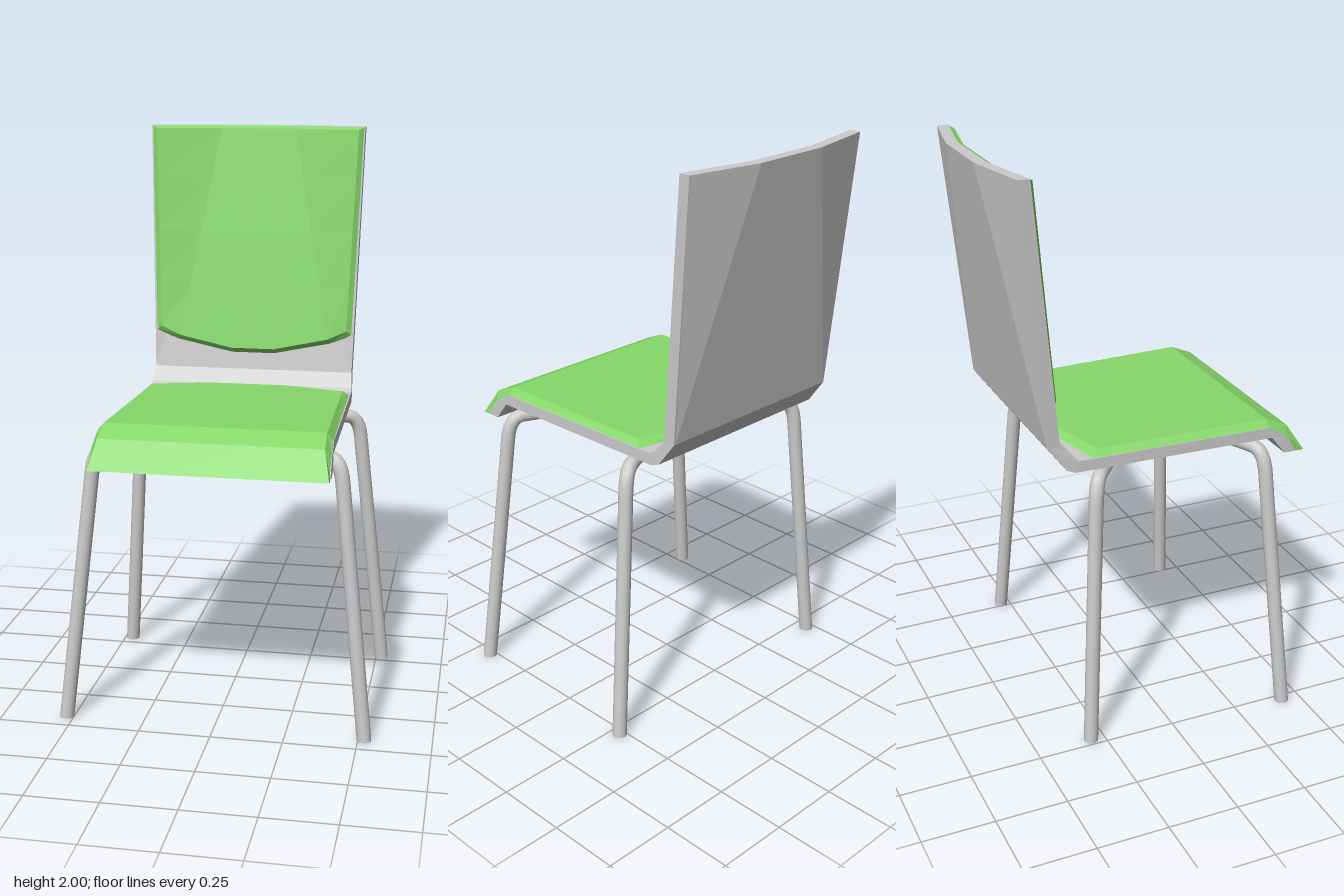
import * as THREE from 'three';

const grey = new THREE.MeshStandardMaterial({ color: 0xcccccc, flatShading: true });
const tubeGrey = new THREE.MeshStandardMaterial({ color: 0xcccccc });
const green = new THREE.MeshStandardMaterial({ color: 0x86d86a, flatShading: true });

// Closed slab between two equal grids of [x, y, z] points, with walls round the border
function slab(front, back) {
  const pos = [];
  const quad = (a, b, c, d) => pos.push(...a, ...b, ...c, ...a, ...c, ...d);
  const R = front.length - 1, C = front[0].length - 1;
  for (let i = 0; i < R; i++) {
    for (let j = 0; j < C; j++) {
      quad(front[i][j], front[i][j + 1], front[i + 1][j + 1], front[i + 1][j]);
      quad(back[i][j], back[i + 1][j], back[i + 1][j + 1], back[i][j + 1]);
    }
  }
  const ring = [];
  for (let j = 0; j < C; j++) ring.push([0, j]);
  for (let i = 0; i < R; i++) ring.push([i, C]);
  for (let j = C; j > 0; j--) ring.push([R, j]);
  for (let i = R; i > 0; i--) ring.push([i, 0]);
  ring.forEach(([i, j], k) => {
    const [m, n] = ring[(k + 1) % ring.length];
    quad(front[m][n], front[i][j], back[i][j], back[m][n]);
  });
  const geo = new THREE.BufferGeometry();
  geo.setAttribute('position', new THREE.Float32BufferAttribute(pos, 3));
  geo.computeVertexNormals();
  return geo;
}

// Mirrored row of points from the right-hand half, listed outside to centre
const mirrored = (half) => [
  ...half.map(([x, y, z]) => [-x, y, z]),
  ...half.slice().reverse(),
];
// Four-point row: half width, inner half width, height, side z, middle z
const row = (w, m, y, z, zMid = z) => mirrored([[w, y, z], [m, y, zMid]]);

// Front surface of the backrest: flat at the bottom, hollow at the top
function backrestZ(x, y) {
  const t = (y - 1.1) / 0.9;
  const w = 0.375 + 0.025 * t, crease = 0.375 + (0.14 - 0.375) * t;
  const k = Math.min(1, Math.max(0, (Math.abs(x) - crease) / (w - crease + 1e-6)));
  return -0.36 - 0.14 * t + 0.05 * t * k;
}

function makeShell() {
  // [half width, upper z, upper y, lower z, lower y]
  const profile = [
    [0.4, 0.515, 0.935, 0.465, 0.935],
    [0.4, 0.47, 1.0, 0.44, 0.967],
    [0.398, 0.4, 1.04, 0.415, 1.0],
    [0.382, -0.3, 1.04, -0.31, 1.0],
    [0.38, -0.32, 1.05, -0.34, 1.012],
    [0.375, -0.36, 1.1, -0.405, 1.1],
  ];
  const upper = profile.map(([w, z, y]) => row(w, w * 0.98, y, z));
  const lower = profile.map(([w, , , z, y]) => row(w, w * 0.98, y, z));
  upper.push(row(0.4, 0.14, 2, -0.45, -0.5));
  lower.push(row(0.4, 0.14, 2, -0.49, -0.54));
  return slab(upper, lower);
}

function makeSeatPad() {
  const top = [
    row(0.4, 0.14, 0.935, 0.54),
    row(0.378, 0.14, 1.03, 0.48),
    row(0.375, 0.14, 1.065, 0.4),
    row(0.358, 0.14, 1.06, -0.22, -0.28),
  ];
  const base = [
    row(0.4, 0.14, 0.935, 0.51),
    row(0.4, 0.14, 1.0, 0.468),
    row(0.398, 0.14, 1.038, 0.4),
    row(0.38, 0.14, 1.038, -0.25, -0.305),
  ];
  return slab(top, base);
}

function makeBackPad() {
  const steps = 4;
  // Bottom [x, y] and top x of each column, outside to centre
  const grid = (cols, topY, lift) => Array.from({ length: steps + 1 }, (_, i) => {
    const t = i / steps;
    return mirrored(cols.map(([x0, y0, x1]) => {
      const x = x0 + (x1 - x0) * t, y = y0 + (topY - y0) * t;
      return [x, y, backrestZ(x, y) + lift];
    }));
  });
  const face = grid([[0.352, 1.255, 0.378], [0.28, 1.222, 0.14], [0.08, 1.18, 0.05]], 1.99, 0.018);
  const base = grid([[0.373, 1.238, 0.398], [0.29, 1.203, 0.14], [0.08, 1.16, 0.05]], 2, -0.002);
  return slab(face, base);
}

// Bent tube leg: foot on the floor, rounded knee, stub under the seat
function makeLeg(foot, knee, end) {
  const r = 0.025, sides = 14;
  const [f, k, e] = [foot, knee, end].map((p) => new THREE.Vector3(...p));
  const before = k.clone().add(f.clone().sub(k).setLength(0.08));
  const after = k.clone().add(e.clone().sub(k).setLength(0.05));
  const path = new THREE.CurvePath();
  path.add(new THREE.LineCurve3(f, before));
  path.add(new THREE.QuadraticBezierCurve3(before, k, after));
  path.add(new THREE.LineCurve3(after, e));
  const tube = new THREE.TubeGeometry(path, 50, r, sides, false);
  // Cut the foot level with the floor
  for (let i = 0; i <= sides; i++) tube.attributes.position.setY(i, 0);
  const leg = new THREE.Group();
  const add = (geo, name) => {
    const mesh = new THREE.Mesh(geo, tubeGrey);
    mesh.name = name;
    leg.add(mesh);
    return mesh;
  };
  add(tube, 'legTube');
  const sole = add(new THREE.CircleGeometry(r, sides), 'footCap');
  sole.rotation.x = Math.PI / 2;
  sole.position.copy(f);
  const cap = add(new THREE.CircleGeometry(r, sides), 'stubCap');
  cap.position.copy(e);
  cap.lookAt(e.clone().multiplyScalar(2).sub(after));
  return leg;
}

export function createModel() {
  const chair = new THREE.Group();
  chair.name = 'chair';
  const add = (geo, mat, name) => {
    const mesh = new THREE.Mesh(geo, mat);
    mesh.name = name;
    chair.add(mesh);
  };
  add(makeShell(), grey, 'shell');
  add(makeSeatPad(), green, 'seatPad');
  add(makeBackPad(), green, 'backPad');

  const legs = {
    frontLeftLeg: [[0.52, 0, 0.43], [0.418, 0.972, 0.372], [0.3, 0.972, 0.32]],
    frontRightLeg: [[-0.525, 0, 0.43], [-0.418, 0.972, 0.372], [-0.3, 0.972, 0.32]],
    backLeftLeg: [[0.52, 0, -0.285], [0.418, 0.972, -0.228], [0.3, 0.972, -0.175]],
    backRightLeg: [[-0.47, 0, -0.3], [-0.405, 0.972, -0.245], [-0.31, 0.972, -0.17]],
  };
  for (const [name, points] of Object.entries(legs)) {
    const leg = makeLeg(...points);
    leg.name = name;
    chair.add(leg);
  }
  return chair;
}
